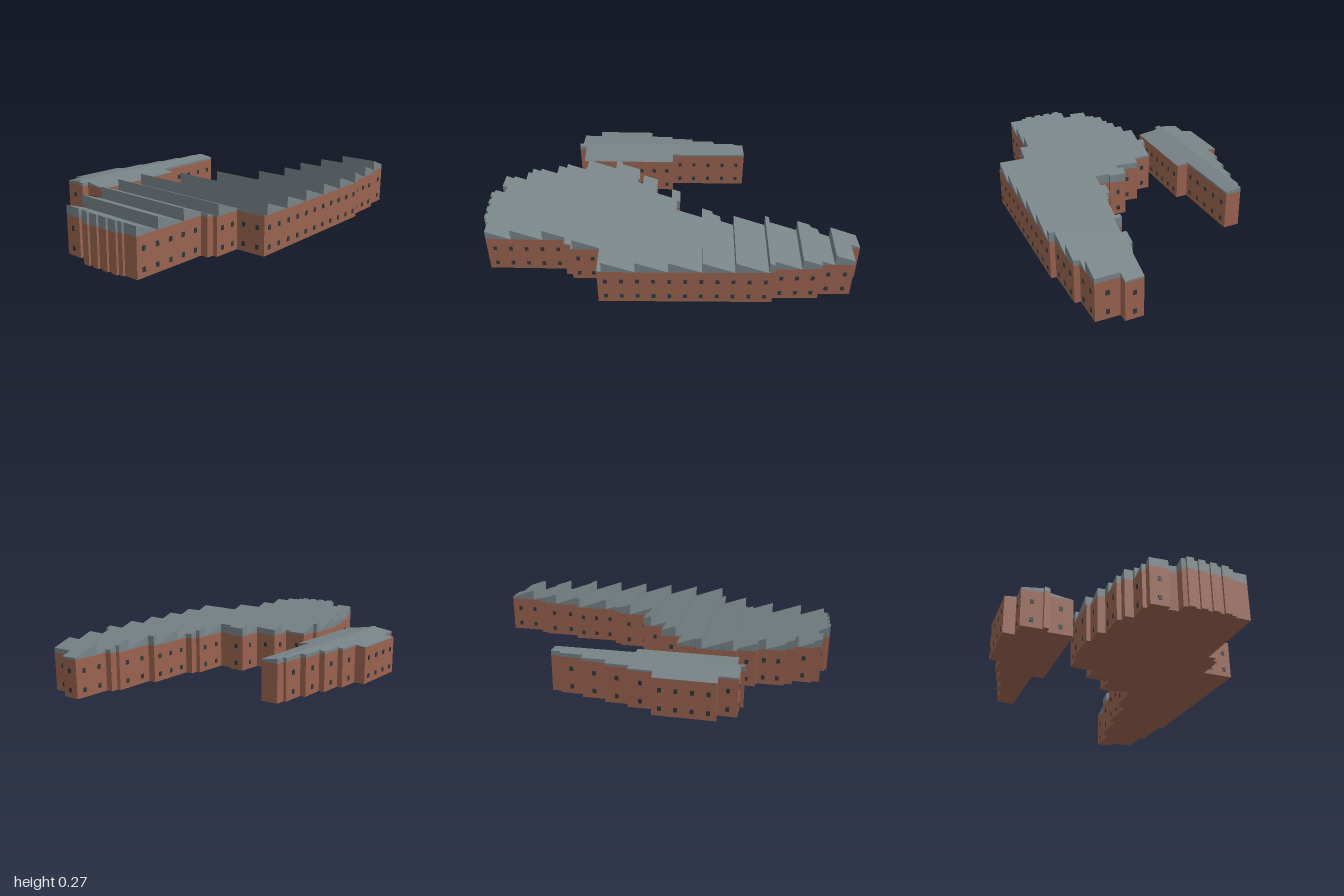
import * as THREE from 'three';

const WALL_H = 0.204;
const brick = new THREE.MeshStandardMaterial({ color: 0x9a6350 });
const slate = new THREE.MeshStandardMaterial({ color: 0x788387 });
const glass = new THREE.MeshStandardMaterial({ color: 0x2f373c });

// Footprints as [x, z], running along the front towards +x first
const hallPlan = [
  [-0.965, 0.425], [-0.543, 0.42], [-0.543, 0.463], [-0.506, 0.463], [-0.506, 0.49], [-0.355, 0.489],
  [-0.35, 0.657], [0.543, 0.634], [0.543, 0.607], [0.783, 0.596], [0.783, 0.566], [0.954, 0.56],
  [0.95, 0.435], [1, 0.433], [0.994, 0.338], [0.8, 0.34], [0.795, 0.308], [0.757, 0.308],
  [0.752, 0.29], [0.538, 0.297], [0.537, 0.255], [0.281, 0.262], [0.276, 0.222], [0.238, 0.222],
  [0.234, 0.2], [0.04, 0.205], [0.04, 0.125], [0.056, 0.125], [0.056, 0.03], [-0.083, 0.032],
  [-0.077, -0.1], [-0.195, -0.098], [-0.195, -0.13], [-0.185, -0.13], [-0.19, -0.228], [-0.292, -0.226],
  [-0.297, -0.246], [-0.516, -0.243], [-0.516, -0.222], [-0.62, -0.22], [-0.62, -0.18], [-0.77, -0.176],
  [-0.77, -0.152], [-0.813, -0.152], [-0.813, -0.107], [-0.917, -0.105], [-0.917, -0.085], [-0.958, -0.085],
  [-0.96, 0.013], [-0.933, 0.013], [-0.938, 0.065], [-0.985, 0.067],
];
// Row of small buttresses on the left end
for (let i = 0; i < 4; i++) {
  const z = 0.09 + i * 0.063, out = -1 + i * 0.003, inn = out + 0.012;
  hallPlan.push([inn, z], [out, z], [out, z + 0.037], [inn, z + 0.037]);
}
hallPlan.push([-0.979, 0.345], [-0.967, 0.345]);

const annexPlan = [
  [-0.537, -0.32], [0.003, -0.326], [0, -0.393], [0.437, -0.403], [0.43, -0.495], [0.378, -0.495],
  [0.377, -0.51], [0.254, -0.51], [0.249, -0.54], [0.12, -0.537], [0.12, -0.57], [-0.008, -0.57],
  [-0.008, -0.6], [-0.138, -0.6], [-0.142, -0.66], [-0.468, -0.658], [-0.463, -0.596], [-0.564, -0.596],
  [-0.562, -0.482], [-0.583, -0.482], [-0.58, -0.452], [-0.54, -0.452],
];

// Keep the part of a footprint where sign * (coordinate - limit) >= 0
function clip(plan, axis, limit, sign) {
  const out = [];
  plan.forEach((a, i) => {
    const b = plan[(i + 1) % plan.length];
    const da = sign * (a[axis] - limit), db = sign * (b[axis] - limit);
    if (da >= 0) out.push(a);
    if (da * db < 0) {
      const t = da / (da - db);
      out.push([a[0] + (b[0] - a[0]) * t, a[1] + (b[1] - a[1]) * t]);
    }
  });
  return out;
}

// Prism over a footprint, its top following heightAt(x, z)
function prism(name, plan, base, heightAt, material) {
  const shape = new THREE.Shape(plan.map(([x, z]) => new THREE.Vector2(x, -z)));
  const geo = new THREE.ExtrudeGeometry(shape, { depth: 1, bevelEnabled: false }).rotateX(-Math.PI / 2);
  const p = geo.attributes.position;
  for (let i = 0; i < p.count; i++) {
    p.setY(i, p.getY(i) > 0.5 ? heightAt(p.getX(i), p.getZ(i)) : base);
  }
  geo.computeVertexNormals();
  const mesh = new THREE.Mesh(geo, material);
  mesh.name = name;
  return mesh;
}

// Two rows of windows, evenly spaced on every wall that is long enough
function windows(plan) {
  const group = new THREE.Group();
  group.name = 'windows';
  const pane = new THREE.BoxGeometry(0.019, 0.024, 0.006);
  plan.forEach(([x, z], i) => {
    const [x2, z2] = plan[(i + 1) % plan.length];
    const dx = x2 - x, dz = z2 - z, len = Math.hypot(dx, dz);
    if (len < 0.0935) return;
    const n = Math.floor(len / 0.0745);
    for (let k = 0; k < n; k++) {
      const t = (k + 0.5) / n;
      for (const y of [0.04, 0.141]) {
        const w = new THREE.Mesh(pane, glass);
        w.name = 'window';
        w.position.set(x + dx * t, y, z + dz * t);
        w.rotation.y = Math.atan2(-dz, dx);
        group.add(w);
      }
    }
  });
  return group;
}

function building(name, plan) {
  const group = new THREE.Group();
  group.name = name;
  group.add(prism('brickWalls', plan, 0, () => WALL_H, brick), windows(plan));
  return group;
}

export function createModel() {
  const model = new THREE.Group();
  model.name = 'factory';

  // Main hall with a sawtooth roof: each tooth is steep on its left and slopes down to the right
  const hall = building('mainHall', hallPlan);
  const pitch = 0.1684;
  for (let k = 0; k < 12; k++) {
    const x0 = -1 + k * pitch;
    const strip = clip(clip(hallPlan, 0, x0, 1), 0, x0 + pitch, -1);
    hall.add(prism('sawtoothRoof', strip, WALL_H, (x) => WALL_H + 0.062 * (1 - (x - x0) / pitch), slate));
  }

  // Annex with a low gable roof
  const annex = building('annex', annexPlan);
  const ridge = -0.488;
  for (const side of [1, -1]) {
    const half = clip(annexPlan, 1, ridge, side);
    annex.add(prism('gableRoof', half, WALL_H,
      (x, z) => WALL_H + 0.001 + 0.024 * (1 - Math.abs(z - ridge) / 0.172), slate));
  }

  model.add(hall, annex);
  return model;
}
